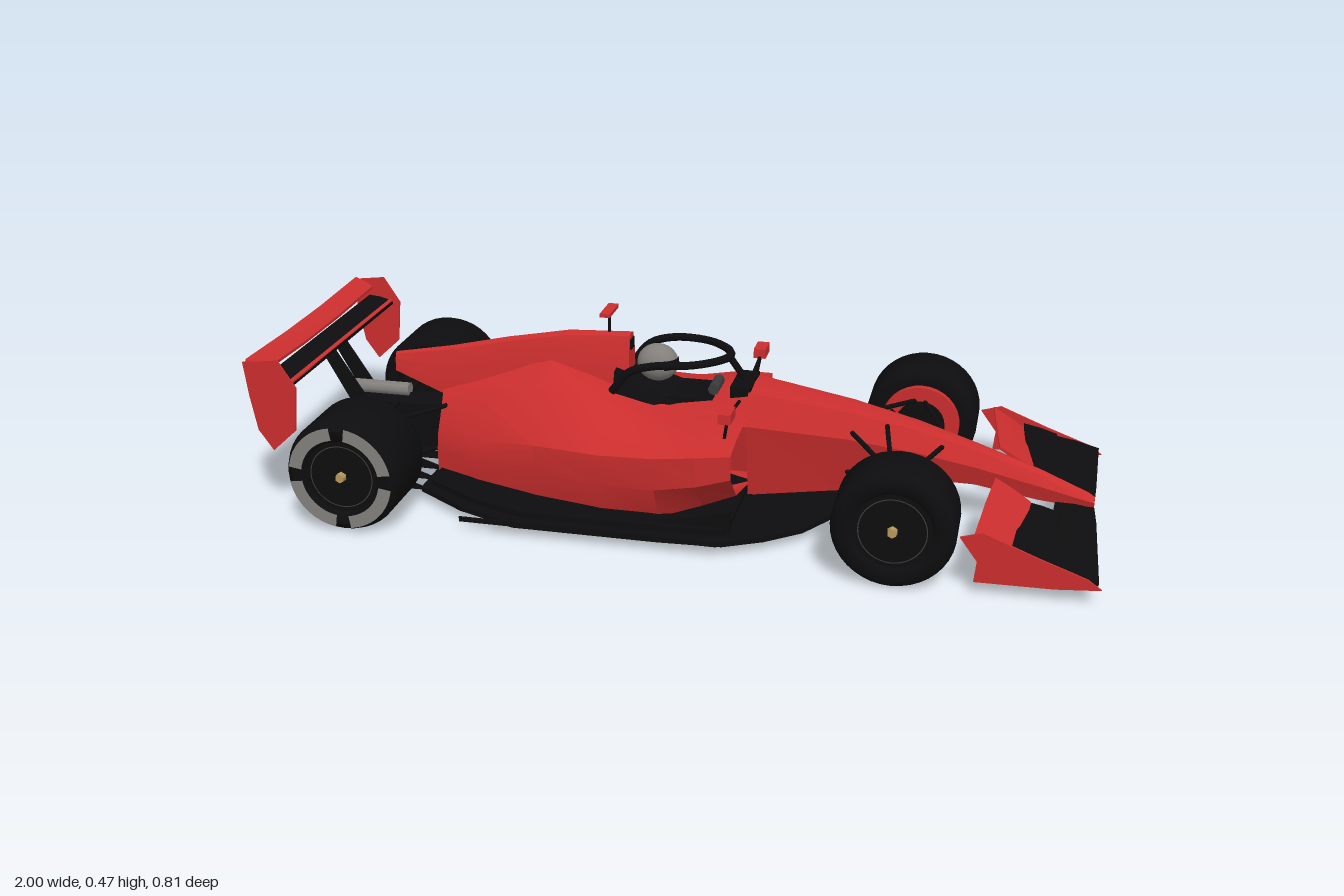
import * as THREE from 'three';
import { toCreasedNormals } from 'three/addons/utils/BufferGeometryUtils.js';

const mat = (name, color, side = THREE.FrontSide) => {
  const m = new THREE.MeshStandardMaterial({ color, side });
  m.name = name;
  return m;
};
const red = mat('red paint', 0xcc2e2e, THREE.DoubleSide);
const black = mat('black carbon', 0x0d0d0f);
const grey = mat('grey metal', 0x83807c, THREE.DoubleSide);
const darkGrey = mat('dark grey', 0x3c3c3e, THREE.DoubleSide);
const gold = mat('gold nut', 0xb8985a);

// Skin between rings of [x, y, z] points, turned outward by signed volume
function loft(rings, caps = true) {
  const n = rings[0].length, idx = [];
  const pos = rings.flat(2);
  for (let i = 0; i < rings.length - 1; i++) {
    for (let j = 0; j < n; j++) {
      const a = i * n + j, b = i * n + (j + 1) % n;
      idx.push(a, b, a + n, b, b + n, a + n);
    }
  }
  const last = (rings.length - 1) * n;
  for (let j = 1; caps && j < n - 1; j++) {
    idx.push(0, j + 1, j, last, last + j, last + j + 1);
  }
  const at = i => new THREE.Vector3().fromArray(pos, i * 3);
  let volume = 0;
  for (let i = 0; i < idx.length; i += 3) {
    volume += at(idx[i]).dot(at(idx[i + 1]).cross(at(idx[i + 2])));
  }
  if (volume < 0) idx.reverse();
  const g = new THREE.BufferGeometry();
  g.setAttribute('position', new THREE.Float32BufferAttribute(pos, 3));
  g.setIndex(idx);
  return toCreasedNormals(g, 0.55);
}

// Half outline [z, y] from top centre to bottom centre, mirrored to a ring at x
const ring = (x, half) => [
  ...half.map(([z, y]) => [x, y, z]),
  ...half.filter(p => p[0] > 0).reverse().map(([z, y]) => [x, y, -z]),
];

// Blade along z from stations [z, xBack, yBack, xFront, yFront]
const blade = (stations, t = 0.006) => loft(stations.map(([z, xb, yb, xf, yf]) => [
  [xb, yb, z], [(xb + xf) / 2, (yb + yf) / 2 + t * 0.3, z], [xf, yf, z],
  [xf, yf - t, z], [(xb + xf) / 2, (yb + yf) / 2 - t * 1.3, z], [xb, yb - t, z],
]));

function plate(points, depth) {
  const shape = new THREE.Shape(points.map(p => new THREE.Vector2(...p)));
  return new THREE.ExtrudeGeometry(shape, { depth, bevelEnabled: false });
}

export function createModel() {
  const car = new THREE.Group();
  car.name = 'racingCar';
  const add = (name, geo, material, x = 0, y = 0, z = 0, parent = car) => {
    const m = new THREE.Mesh(geo, material);
    m.name = name;
    m.position.set(x, y, z);
    parent.add(m);
    return m;
  };
  const box = (name, material, w, h, d, x, y, z) => add(name, new THREE.BoxGeometry(w, h, d), material, x, y, z);
  const rod = (name, a, b, r = 0.006, material = black) => {
    const p = new THREE.Vector3(...a), q = new THREE.Vector3(...b);
    const m = add(name, new THREE.CylinderGeometry(r, r, p.distanceTo(q), 8), material);
    m.position.copy(p).lerp(q, 0.5);
    m.quaternion.setFromUnitVectors(new THREE.Vector3(0, 1, 0), q.sub(p).normalize());
  };

  // Nose and chassis: [x, top, topHalf, waistY, waistHalf, bottom, bottomHalf]
  const tub = [
    [0.98, 0.09, 0.008, 0.08, 0.015, 0.066, 0.008],
    [0.965, 0.1, 0.012, 0.085, 0.02, 0.064, 0.012],
    [0.85, 0.148, 0.016, 0.115, 0.027, 0.077, 0.018],
    [0.7, 0.198, 0.023, 0.155, 0.04, 0.105, 0.025],
    [0.56, 0.24, 0.032, 0.185, 0.053, 0.11, 0.032],
    [0.4, 0.275, 0.045, 0.21, 0.068, 0.065, 0.035],
    [0.16, 0.312, 0.062, 0.23, 0.092, 0.034, 0.05],
  ];
  add('noseAndChassis', loft(tub.map(([x, t, th, w, wh, b, bh]) =>
    ring(x, [[0, t], [th, t - 0.006], [wh, w], [bh, b], [0, b]]))), red);
  add('cockpitSides', loft([
    ring(0.16, [[0, 0.3], [0.065, 0.295], [0.094, 0.23], [0.06, 0.1], [0, 0.1]]),
    ring(-0.03, [[0, 0.262], [0.075, 0.262], [0.1, 0.225], [0.06, 0.1], [0, 0.1]]),
    ring(-0.2, [[0, 0.29], [0.07, 0.28], [0.1, 0.225], [0.06, 0.1], [0, 0.1]]),
  ]), red);

  // Sidepods sweeping into the engine cover, with an open lip at the front
  const lip = ring(0.16, [[0, 0.245], [0.1, 0.245], [0.2, 0.243], [0.275, 0.23], [0.27, 0.17], [0.2, 0.1], [0, 0.05]]);
  const inlet = ring(0.08, [[0, 0.245], [0.1, 0.25], [0.2, 0.245], [0.288, 0.225], [0.282, 0.15], [0.21, 0.07], [0, 0.04]]);
  add('sidepodInlets', loft([lip, inlet], false), red);
  add('sidepods', loft([
    inlet,
    ring(-0.02, [[0, 0.245], [0.1, 0.25], [0.2, 0.24], [0.28, 0.21], [0.278, 0.13], [0.23, 0.04], [0, 0.03]]),
    ring(-0.16, [[0, 0.28], [0.07, 0.28], [0.155, 0.262], [0.255, 0.195], [0.258, 0.12], [0.23, 0.04], [0, 0.03]]),
    ring(-0.33, [[0, 0.345], [0.05, 0.335], [0.11, 0.3], [0.21, 0.185], [0.215, 0.12], [0.195, 0.04], [0, 0.03]]),
    ring(-0.5, [[0, 0.3], [0.04, 0.27], [0.08, 0.235], [0.14, 0.155], [0.15, 0.1], [0.14, 0.04], [0, 0.03]]),
    ring(-0.62, [[0, 0.25], [0.03, 0.23], [0.05, 0.19], [0.08, 0.14], [0.09, 0.1], [0.09, 0.04], [0, 0.03]]),
  ]), red);

  // Spine and airbox: [x, bottom, top, half width]
  const spine = [[-0.14, 0.3, 0.415, 0.034], [-0.3, 0.27, 0.406, 0.042], [-0.45, 0.23, 0.378, 0.038],
    [-0.6, 0.215, 0.343, 0.028], [-0.75, 0.268, 0.315, 0.012]];
  add('engineCover', loft(spine.map(([x, b, t, w]) =>
    ring(x, [[0, t], [w * 0.5, t - 0.006], [w * 0.85, t * 0.6 + b * 0.4], [w, b], [0, b]]))), red);
  box('airboxInlet', black, 0.004, 0.025, 0.03, -0.139, 0.385, 0);

  // Cockpit
  box('cockpitOpening', black, 0.3, 0.02, 0.13, 0.0, 0.27, 0);
  add('headrest', loft([
    ring(0.0, [[0, 0.272], [0.06, 0.272], [0.078, 0.24], [0, 0.24]]),
    ring(-0.1, [[0, 0.305], [0.065, 0.305], [0.085, 0.25], [0, 0.25]]),
    ring(-0.17, [[0, 0.335], [0.055, 0.33], [0.085, 0.25], [0, 0.25]]),
  ]), black);
  box('dashboard', black, 0.05, 0.035, 0.12, 0.14, 0.298, 0);
  add('helmet', new THREE.SphereGeometry(0.046, 24, 16), grey, -0.075, 0.342, 0).scale.set(1.1, 1, 0.9);
  add('visor', new THREE.SphereGeometry(0.0475, 16, 8, Math.PI * 0.65, Math.PI * 0.7, 1.25, 0.5), black, -0.075, 0.342, 0).scale.set(1.1, 1, 0.9);
  rod('steeringWheel', [0.07, 0.295, -0.035], [0.07, 0.295, 0.035], 0.014, darkGrey);
  const half = [[-0.165, 0.295, 0.098], [-0.12, 0.35, 0.104], [-0.06, 0.37, 0.105], [0.03, 0.374, 0.09], [0.09, 0.374, 0.04]];
  const path = [...half, [0.105, 0.373, 0], ...half.map(([x, y, z]) => [x, y, -z]).reverse()];
  add('halo', new THREE.TubeGeometry(new THREE.CatmullRomCurve3(path.map(p => new THREE.Vector3(...p))), 48, 0.01, 8), black);
  rod('haloPillar', [0.1, 0.373, 0], [0.152, 0.3, 0], 0.009);
  rod('cameraMast', [-0.195, 0.4, 0], [-0.195, 0.462, 0], 0.004);
  box('cameraPod', red, 0.025, 0.009, 0.084, -0.195, 0.464, 0);

  // Floor, step and plank
  const edge = [[0.4, 0.06], [0.37, 0.13], [0.32, 0.21], [0.24, 0.275], [0.15, 0.322], [0, 0.33], [-0.35, 0.33], [-0.5, 0.27], [-0.63, 0.185]];
  const outline = [...edge, ...edge.map(([x, z]) => [x, -z]).reverse()];
  add('floor', plate(outline, 0.012).rotateX(Math.PI / 2), black, 0, 0.036, 0);
  add('floorStep', plate(outline.map(([x, z]) => [Math.min(x, 0.16) * 0.97, z * 0.9]), 0.014).rotateX(Math.PI / 2), black, 0, 0.05, 0);
  box('plank', black, 1.0, 0.008, 0.1, -0.1, 0.021, 0);

  // Diffuser
  add('diffuserRamp', new THREE.PlaneGeometry(0.27, 0.37).rotateX(Math.PI / 2).rotateZ(-0.3), black, -0.755, 0.07, 0);
  for (let i = -3; i <= 3; i++) {
    add('diffuserFin', plate([[-0.6, 0.03], [-0.89, 0.03], [-0.89, 0.118], [-0.86, 0.115]], 0.004), black, 0, 0, i * 0.062 - 0.002);
  }

  // Gearbox and exhaust
  add('gearbox', loft([
    ring(-0.6, [[0, 0.22], [0.05, 0.2], [0.06, 0.07], [0, 0.05]]),
    ring(-0.88, [[0, 0.19], [0.02, 0.18], [0.022, 0.13], [0, 0.12]]),
  ]), black);
  rod('exhaust', [-0.72, 0.215, 0], [-0.89, 0.215, 0], 0.018, grey);

  // Front wing
  add('frontWingMain', blade([
    [-0.372, 0.87, 0.085, 0.992, 0.058], [-0.1, 0.885, 0.078, 0.985, 0.07], [0, 0.89, 0.075, 0.98, 0.066],
    [0.1, 0.885, 0.078, 0.985, 0.07], [0.372, 0.87, 0.085, 0.992, 0.058]], 0.01), black);
  // Rear wing
  add('rearWingMain', blade([[-0.325, -0.955, 0.345, -0.89, 0.332], [0.325, -0.955, 0.345, -0.89, 0.332]], 0.009), black);
  add('rearWingFlap', blade([[-0.325, -0.992, 0.392, -0.945, 0.37], [-0.1, -0.992, 0.386, -0.945, 0.363],
    [0.1, -0.992, 0.386, -0.945, 0.363], [0.325, -0.992, 0.392, -0.945, 0.37]], 0.007), red);
  add('rearWingLip', blade([[-0.325, -0.9, 0.336, -0.89, 0.334], [0.325, -0.9, 0.336, -0.89, 0.334]], 0.004), red);

  // Tyre profile: [radius, distance along axle], scaled to the wheel width
  const tyre = w => new THREE.LatheGeometry([[0.0, -0.4], [0.088, -0.4], [0.095, -0.48], [0.118, -0.5], [0.134, -0.44], [0.14, -0.36],
    [0.14, 0.36], [0.134, 0.44], [0.118, 0.5], [0.095, 0.48], [0.088, 0.44], [0.0, 0.44]]
    .map(([r, a]) => new THREE.Vector2(r, a * w)), 40).rotateX(Math.PI / 2);

  for (const s of [1, -1]) {
    const side = s > 0 ? 'left' : 'right';
    // Wheels
    for (const [end, x, inner, outer] of [['Front', 0.545, 0.247, 0.398], ['Rear', -0.745, 0.2, 0.396]]) {
      const w = outer - inner, wheel = new THREE.Group();
      wheel.name = side + end + 'Wheel';
      wheel.position.set(x, 0.14, s * (inner + outer) / 2);
      if (s < 0) wheel.rotation.y = Math.PI;
      car.add(wheel);
      add('tyre', toCreasedNormals(tyre(w), 0.7), black, 0, 0, 0, wheel);
      add('rimLine', new THREE.RingGeometry(0.075, 0.0775, 40), darkGrey, 0, 0, w * 0.44 + 0.002, wheel);
      add('wheelNut', new THREE.CylinderGeometry(0.011, 0.013, 0.016, 6).rotateX(Math.PI / 2), gold, 0, 0, w * 0.44 + 0.006, wheel);
      if (end === 'Front') {
        add('brakeDrum', new THREE.CylinderGeometry(0.098, 0.098, 0.03, 32).rotateX(Math.PI / 2), red, 0, 0, -w / 2, wheel);
        add('brakeHub', new THREE.CylinderGeometry(0.062, 0.062, 0.034, 24).rotateX(Math.PI / 2), black, 0, 0, -w / 2, wheel);
      } else {
        for (let i = 0; i < 4; i++) {
          add('sidewallArc', new THREE.RingGeometry(0.096, 0.127, 12, 1, i * Math.PI / 2 + 0.15, 1.27), grey, 0, 0, w * 0.5 + 0.001, wheel);
        }
      }
    }

    // Suspension arms
    const arms = [
      [[0.41, 0.225, 0.06], [0.54, 0.2, 0.25]], [[0.62, 0.2, 0.04], [0.55, 0.2, 0.25]],
      [[0.4, 0.12, 0.05], [0.54, 0.09, 0.25]], [[0.63, 0.13, 0.03], [0.55, 0.09, 0.25]],
      [[0.49, 0.245, 0.045], [0.54, 0.1, 0.25]], [[0.51, 0.16, 0.04], [0.51, 0.15, 0.25]],
      [[-0.74, 0.19, 0.02], [-0.74, 0.2, 0.21]], [[-0.6, 0.2, 0.04], [-0.73, 0.2, 0.21]],
      [[-0.6, 0.1, 0.05], [-0.74, 0.09, 0.21]], [[-0.755, 0.14, 0.02], [-0.755, 0.14, 0.21]],
    ];
    for (const [a, b] of arms) rod(side + 'SuspensionArm', [a[0], a[1], s * a[2]], [b[0], b[1], s * b[2]]);

    // Front wing flaps and endplates
    add(side + 'FrontWingInnerFlap', blade([[s * 0.092, 0.82, 0.105, 0.9, 0.085], [s * 0.372, 0.8, 0.11, 0.885, 0.088]], 0.007), black);
    add(side + 'FrontWingUpperFlap', blade([[s * 0.092, 0.75, 0.158, 0.835, 0.104], [s * 0.23, 0.735, 0.156, 0.825, 0.1],
      [s * 0.372, 0.722, 0.148, 0.812, 0.09]], 0.007), red);
    add(side + 'FrontWingEndplate', plate([[1, 0.04], [0.97, 0.062], [0.86, 0.102], [0.74, 0.15], [0.69, 0.135], [0.73, 0.08], [0.725, 0.03], [0.9, 0.032]], 0.005),
      red, 0, 0, s * 0.374 - 0.0025);

    // Rear wing endplates and pylons
    add(side + 'RearWingEndplate', plate([[-1, 0.385], [-0.912, 0.396], [-0.87, 0.33], [-0.88, 0.22], [-0.94, 0.165], [-0.975, 0.215], [-0.99, 0.3]], 0.005),
      red, 0, 0, s * 0.326 - 0.0025);
    add(side + 'RearWingPylon', plate([[-0.8, 0.16], [-0.85, 0.16], [-0.945, 0.335], [-0.91, 0.335]], 0.008), black, 0, 0, s * 0.035 - 0.004);

    // Mirrors, floor edge and sidepod deflectors
    box(side + 'Mirror', red, 0.03, 0.024, 0.058, 0.14, 0.31, s * 0.222);
    rod(side + 'MirrorStem', [0.14, 0.302, s * 0.21], [0.14, 0.285, s * 0.07], 0.004);
    rod(side + 'MirrorStrut', [0.14, 0.3, s * 0.205], [0.13, 0.24, s * 0.2], 0.004);
    box(side + 'FloorEdge', black, 0.62, 0.012, 0.004, -0.17, 0.034, s * 0.331);
    add(side + 'FloorDeflector', plate([[0.16, 0.03], [0.16, 0.092], [0.1, 0.075], [-0.08, 0.045], [-0.2, 0.03]], 0.012), black, 0, 0, s * 0.27 - 0.006);
  }
  return car;
}
